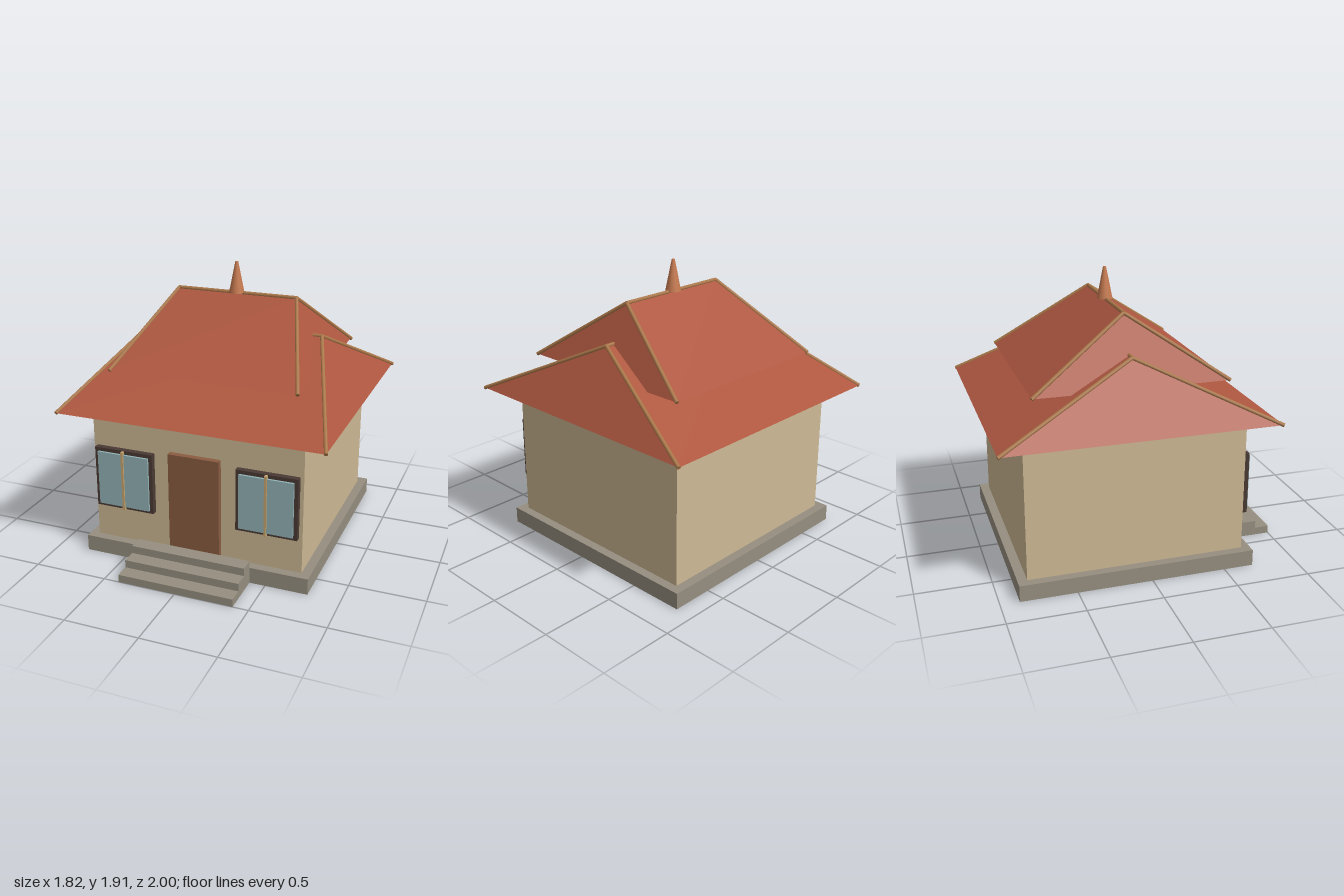
import * as THREE from 'three';

const mat = (name, color) => {
  const m = new THREE.MeshStandardMaterial({ color });
  m.name = name;
  return m;
};

export function createModel() {
  const house = new THREE.Group();
  house.name = 'house';
  const wall = mat('sand plaster', 0xcdb994);
  const stone = mat('grey stone', 0x968f80);
  const tile = mat('red roof tile', 0xae5740);
  const trim = mat('roof trim', 0xab784a);
  const copper = mat('copper', 0xc67a50);
  const wood = mat('door wood', 0x8a5c41);
  const dark = mat('dark frame', 0x4a3a34);
  const glass = mat('window glass', 0x92b3b5);
  const pale = mat('pale wood', 0xc9a66f);
  const midZ = -0.09;

  const add = (name, geometry, material) => {
    const mesh = new THREE.Mesh(geometry, material);
    mesh.name = name;
    house.add(mesh);
    return mesh;
  };
  // box given by its limits on each axis
  const box = (name, material, [x0, x1], [y0, y1], [z0, z1]) =>
    add(name, new THREE.BoxGeometry(x1 - x0, y1 - y0, z1 - z0), material)
      .position.set((x0 + x1) / 2, (y0 + y1) / 2, (z0 + z1) / 2);

  // foundation, steps and walls
  box('foundation', stone, [-0.785, 0.785], [0, 0.11], [-0.875, 0.7]);
  for (let i = 0; i < 3; i++) {
    box('step', stone, [-0.395, 0.395], [i * 0.053, (i + 1) * 0.053], [0.7, 1 - i * 0.1]);
  }
  box('walls', wall, [-0.725, 0.725], [0.11, 1.032], [-0.813, 0.64]);

  // door and windows
  box('door', wood, [-0.175, 0.175], [0.11, 0.805], [0.63, 0.68]);
  for (const x of [-0.495, 0.495]) {
    box('windowFrame', dark, [x - 0.206, x + 0.206], [0.355, 0.776], [0.63, 0.68]);
    box('windowGlass', glass, [x - 0.181, x + 0.181], [0.376, 0.751], [0.68, 0.695]);
    box('windowMullion', pale, [x - 0.008, x + 0.008], [0.357, 0.774], [0.68, 0.705]);
  }

  // round rod between two points
  const rod = (name, a, b, r) => {
    const dir = b.clone().sub(a);
    const mesh = add(name, new THREE.CylinderGeometry(r, r, dir.length(), 8), trim);
    mesh.position.copy(a).addScaledVector(dir, 0.5);
    mesh.quaternion.setFromUnitVectors(new THREE.Vector3(0, 1, 0), dir.normalize());
  };

  // hipped roof: four eave corners, a ridge, closed underside, rods on ridge and hips
  const roof = (name, halfX, halfZ, ridgeX, y0, y1) => {
    const v = (x, y, z) => new THREE.Vector3(x, y, z + midZ);
    const fl = v(-halfX, y0, halfZ), fr = v(halfX, y0, halfZ);
    const br = v(halfX, y0, -halfZ), bl = v(-halfX, y0, -halfZ);
    const l = v(-ridgeX, y1, 0), r = v(ridgeX, y1, 0);
    const geometry = new THREE.BufferGeometry().setFromPoints([
      fl, fr, r, fl, r, l,
      br, bl, l, br, l, r,
      fr, br, r,
      bl, fl, l,
      fl, bl, br, fl, br, fr,
    ]);
    geometry.computeVertexNormals();
    add(name, geometry, tile);
    rod(name + 'Ridge', l, r, 0.013);
    for (const [top, eave] of [[l, fl], [l, bl], [r, fr], [r, br]]) {
      rod(name + 'Hip', top, eave, 0.013);
    }
  };
  roof('lowerRoof', 0.9, 0.9, 0.6, 1.03, 1.46);
  roof('upperRoof', 0.64, 0.64, 0.42, 1.27, 1.7);

  // finial
  add('finial', new THREE.CylinderGeometry(0.01, 0.052, 0.21, 16), copper).position.set(0, 1.805, midZ);

  return house;
}
